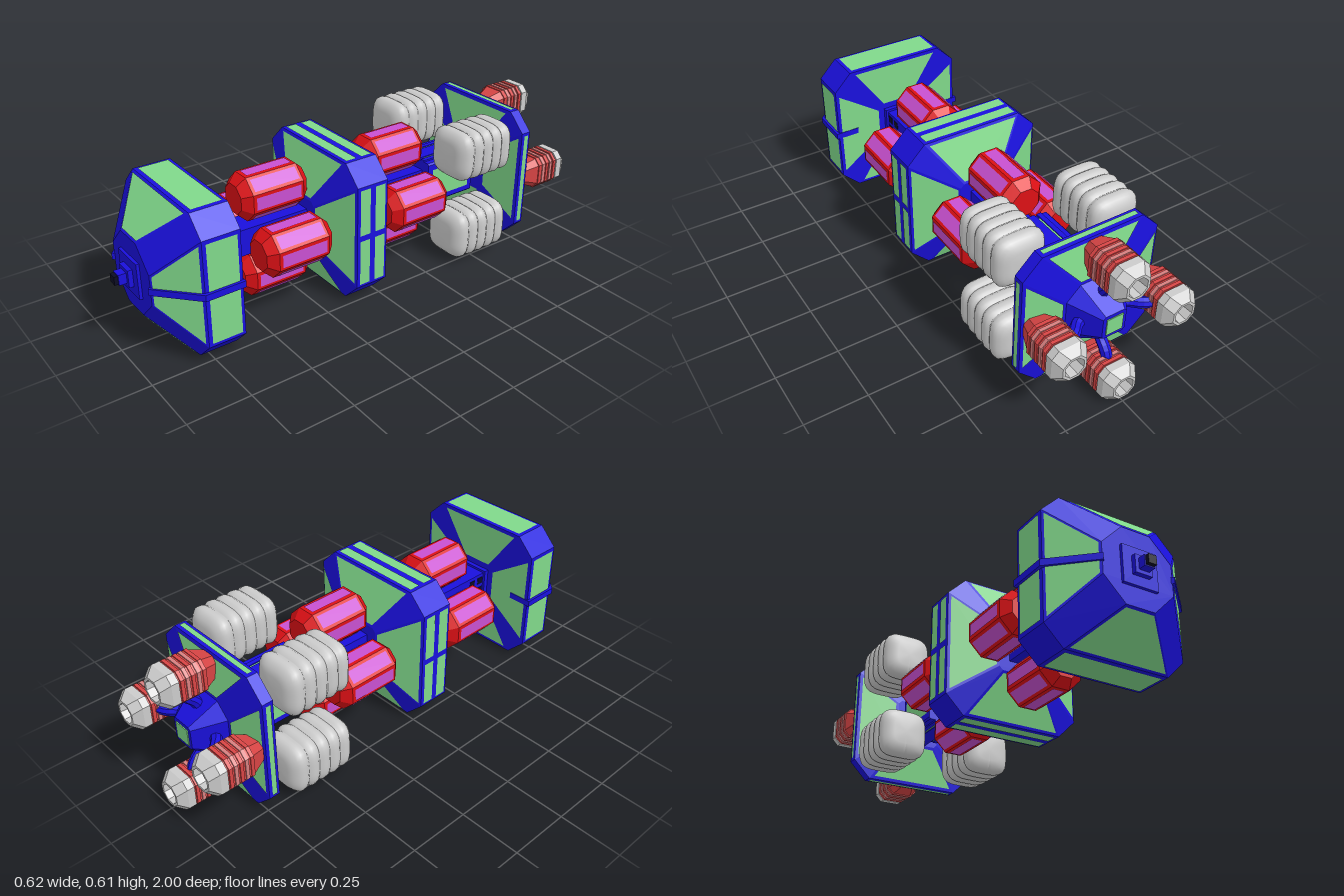
import * as THREE from 'three';

const mat = (color, flatShading = true) =>
  new THREE.MeshStandardMaterial({ color, flatShading, side: THREE.DoubleSide });
const BLUE = mat(0x1a10dd), GREEN = mat(0x80d88a), RED = mat(0xdd1015), MAGENTA = mat(0xc850d0);
const ENGINE = mat(0xd84545), RIB = mat(0xd88080), GREY = mat(0xcccccc), SMOOTH = mat(0xcccccc, false), DARK = mat(0x0c0c24);

const mesh = (name, geo, material, x = 0, y = 0, z = 0) => {
  const m = new THREE.Mesh(geo, material);
  m.name = name;
  m.position.set(x, y, z);
  return m;
};
const box = (name, w, h, d, material, x, y, z) =>
  mesh(name, new THREE.BoxGeometry(w, h, d), material, x, y, z);

function polygons(list) {
  const pos = [];
  for (const p of list)
    for (let i = 1; i < p.length - 1; i++)
      for (const v of [p[0], p[i], p[i + 1]]) pos.push(v.x, v.y, v.z);
  const g = new THREE.BufferGeometry();
  g.setAttribute('position', new THREE.Float32BufferAttribute(pos, 3));
  g.computeVertexNormals();
  return g;
}

// Octagon at depth z: distance to each flat side, and half the length of that side
const octagon = ([z, h, f = h * 0.414]) =>
  [[h, -f], [h, f], [f, h], [-f, h], [-h, f], [-h, -f], [-f, -h], [f, -h]]
    .map(([x, y]) => new THREE.Vector3(x, y, z));

// Octagonal hull from cross-sections ordered from back to front
function hull(name, sections, material) {
  const rings = sections.map(octagon);
  const faces = [[...rings[0]].reverse(), rings[rings.length - 1]];
  for (let s = 0; s < rings.length - 1; s++)
    for (let k = 0; k < 8; k++) {
      const n = (k + 1) % 8;
      faces.push([rings[s][k], rings[s][n], rings[s + 1][n], rings[s + 1][k]]);
    }
  return mesh(name, polygons(faces), material);
}

// Inset panels on the chosen sides of one bay of a hull, in nu x nv cells
function panels(name, sections, bay, sides, margin, material, nu = 1, nv = 1) {
  const r0 = octagon(sections[bay]), r1 = octagon(sections[bay + 1]), faces = [];
  for (const k of sides) {
    const n = (k + 1) % 8, a = r0[k], b = r0[n], c = r1[n], d = r1[k];
    const normal = b.clone().sub(a).cross(c.clone().sub(a)).normalize().multiplyScalar(0.003);
    const length = a.clone().add(b).distanceTo(c.clone().add(d)) / 2;
    const point = (u, v, su, sv) => {
      v += sv * margin / length;
      const p = a.clone().lerp(d, v), q = b.clone().lerp(c, v);
      return p.lerp(q, u + su * margin / p.distanceTo(q)).add(normal);
    };
    for (let i = 0; i < nu; i++)
      for (let j = 0; j < nv; j++) {
        const u0 = i / nu, u1 = (i + 1) / nu, v0 = j / nv, v1 = (j + 1) / nv;
        faces.push([point(u0, v0, 1, 1), point(u1, v0, -1, 1), point(u1, v1, -1, -1), point(u0, v1, 1, -1)]);
      }
  }
  return mesh(name, polygons(faces), material);
}

const FLATS = [0, 2, 4, 6], ALL = [0, 1, 2, 3, 4, 5, 6, 7];
const TOP_BOTTOM = [2, 6], LEFT_RIGHT = [0, 4];

function noseModule() {
  const g = new THREE.Group();
  g.name = 'noseModule';
  const s = [[0.64, 0.08, 0.07], [0.64, 0.29, 0.215], [0.79, 0.29, 0.215], [0.925, 0.147, 0.06]];
  g.add(hull('noseHull', s, BLUE),
    panels('noseRearPanels', s, 0, FLATS, 0.014, GREEN),
    panels('noseTopPanels', s, 1, TOP_BOTTOM, 0.014, GREEN),
    panels('noseSidePanels', s, 1, LEFT_RIGHT, 0.014, GREEN, 2),
    panels('noseSlopeTopPanels', s, 2, TOP_BOTTOM, 0.01, GREEN),
    panels('noseSlopeSidePanels', s, 2, LEFT_RIGHT, 0.01, GREEN, 2));
  // Ribs following the side outline
  const outline = new THREE.Shape([[0.2, 0.635], [0.303, 0.635], [0.303, 0.795], [0.15, 0.935], [0.12, 0.9]]
    .map(([x, z]) => new THREE.Vector2(x, z)));
  for (const side of [0, Math.PI]) {
    const geo = new THREE.ExtrudeGeometry(outline, { depth: 0.026, bevelEnabled: false });
    geo.translate(0, 0, -0.013).rotateX(Math.PI / 2);
    if (side) geo.rotateZ(side);
    g.add(mesh('noseRib', geo, BLUE));
  }
  // Stepped docking probe
  g.add(box('probeBase', 0.145, 0.145, 0.02, BLUE, 0, 0, 0.927),
    box('probeCollar', 0.07, 0.07, 0.03, BLUE, 0, 0, 0.94),
    box('probeSleeve', 0.042, 0.042, 0.05, BLUE, 0, 0, 0.96),
    box('probeTip', 0.034, 0.034, 0.04, DARK, 0, 0, 0.98));
  return g;
}

function middleModule() {
  const g = new THREE.Group();
  g.name = 'middleModule';
  const s = [[-0.075, 0.1, 0.085], [0, 0.29, 0.215], [0.14, 0.29, 0.215], [0.21, 0.1, 0.085]];
  g.add(hull('middleHull', s, BLUE),
    panels('middleRearPanels', s, 0, FLATS, 0.011, GREEN),
    panels('middleTopPanels', s, 1, TOP_BOTTOM, 0.012, GREEN, 1, 2),
    panels('middleSidePanels', s, 1, LEFT_RIGHT, 0.012, GREEN, 2, 2),
    panels('middleFrontPanels', s, 2, FLATS, 0.011, GREEN));
  return g;
}

// Four panelled canisters around the spine
function canisters(z0, z1) {
  const g = new THREE.Group();
  g.name = 'canisterCluster';
  const s = [[z0, 0.058], [z0 + 0.035, 0.09], [z1 - 0.035, 0.09], [z1, 0.058]];
  for (let i = 0; i < 4; i++) {
    const can = new THREE.Group(), a = i * Math.PI / 2;
    can.name = 'canister';
    can.position.set(Math.cos(a) * 0.165, Math.sin(a) * 0.165, 0);
    can.add(hull('canisterFrame', s, RED), panels('canisterPanels', s, 1, ALL, 0.012, MAGENTA));
    g.add(can);
  }
  return g;
}

// Ribbed tank: a lathed bulging profile pushed out to a rounded square
function tankGeometry() {
  const profile = [[0, 0], [0.055, 0], [0.08, 0.008]];
  const ribs = 5, start = 0.02, pitch = 0.05;
  for (let i = 0; i < ribs; i++)
    for (let j = 0; j < 6; j++) {
      const t = j / 5, end = Math.abs(i - 2) === 2 ? 0.002 : 0;
      profile.push([0.096 + 0.009 * Math.sqrt(Math.sin(Math.PI * t) + 1e-6) - end, start + pitch * (i + 0.02 + t * 0.96)]);
    }
  profile.push([0.08, 0.282], [0.055, 0.29], [0, 0.29]);
  const geo = new THREE.LatheGeometry(profile.map(([r, y]) => new THREE.Vector2(r, y)), 40);
  const p = geo.attributes.position;
  for (let i = 0; i < p.count; i++) {
    const x = p.getX(i), z = p.getZ(i), r = Math.hypot(x, z);
    if (r < 1e-6) continue;
    const k = 1 / Math.pow((x / r) ** 4 + (z / r) ** 4, 0.25);
    p.setX(i, x * k);
    p.setZ(i, z * k);
  }
  geo.rotateX(Math.PI / 2);
  geo.computeVertexNormals();
  return geo;
}

function tankSection() {
  const g = new THREE.Group();
  g.name = 'tankSection';
  const s = [[-0.63, 0.095, 0.088], [-0.38, 0.095, 0.088]], geo = tankGeometry();
  g.add(hull('tankCore', s, BLUE), panels('tankCorePanels', s, 0, FLATS, 0.024, GREEN),
    box('tankSpine', 0.07, 0.205, 0.3, BLUE, 0, 0, -0.53),
    box('rearSpine', 0.07, 0.07, 0.1, BLUE, 0, 0, -0.66));
  for (const x of [-1, 1])
    for (const y of [-1, 1]) {
      g.add(mesh('tank', geo, SMOOTH, x * 0.203, y * 0.179, -0.66));
      g.add(box('spineRail', 0.02, 0.012, 0.24, BLUE, x * 0.055, y * 0.096, -0.5));
    }
  return g;
}

function engineModule() {
  const g = new THREE.Group();
  g.name = 'engineModule';
  const s = [[-0.91, 0.05, 0.04], [-0.8, 0.125, 0.07], [-0.765, 0.287, 0.212], [-0.72, 0.287, 0.212], [-0.685, 0.1, 0.085]];
  g.add(hull('engineHull', s, BLUE),
    panels('engineRearPanels', s, 1, FLATS, 0.012, GREEN),
    panels('engineRimPanels', s, 2, FLATS, 0.012, GREEN),
    panels('engineFrontPanels', s, 3, FLATS, 0.014, GREEN),
    box('enginePodPanel', 0.07, 0.07, 0.01, GREEN, 0, 0, -0.909));
  const strut = new THREE.TubeGeometry(new THREE.CatmullRomCurve3([[0.05, -0.82], [0.11, -0.845], [0.15, -0.88], [0.2, -0.9]]
    .map(([x, z]) => new THREE.Vector3(x, 0, z))), 10, 0.022, 8);
  const nozzle = [[-0.94, 0.034], [-1, 0.038], [-1, 0.048], [-0.965, 0.07, 0.043], [-0.935, 0.07, 0.043]];
  const body = [[-0.94, 0.064, 0.04], [-0.83, 0.067, 0.042], [-0.77, 0.045, 0.025]];
  for (let i = 0; i < 4; i++) {
    const arm = new THREE.Group(), engine = new THREE.Group();
    arm.name = 'engineArm';
    engine.name = 'engine';
    engine.position.x = 0.235;
    engine.add(hull('nozzle', nozzle, GREY), hull('engineBody', body, ENGINE));
    for (let j = 0; j < 5; j++) {
      const z = -0.922 + j * 0.022;
      engine.add(hull('engineRib', [[z - 0.007, 0.07, 0.043], [z + 0.007, 0.07, 0.043]], j % 2 ? RIB : ENGINE));
    }
    arm.add(mesh('engineStrut', strut, BLUE), engine);
    arm.rotation.z = i * Math.PI / 2;
    g.add(arm);
  }
  return g;
}

export function createModel() {
  const ship = new THREE.Group();
  ship.name = 'spaceship';
  ship.add(noseModule(), middleModule(), canisters(0.21, 0.5), canisters(-0.37, -0.08), tankSection(), engineModule());
  // Spine and neck with its square ports
  ship.add(box('spine', 0.11, 0.11, 1.02, BLUE, 0, 0, 0.13), box('neckFlange', 0.13, 0.13, 0.02, BLUE, 0, 0, 0.63));
  for (const x of [-0.055, 0.055])
    for (const y of [-0.024, 0.024])
      for (const z of [0.55, 0.6]) ship.add(box('neckPort', 0.004, 0.03, 0.03, DARK, x, y, z));
  ship.position.y = 0.305;
  const model = new THREE.Group();
  model.name = 'model';
  model.add(ship);
  return model;
}
